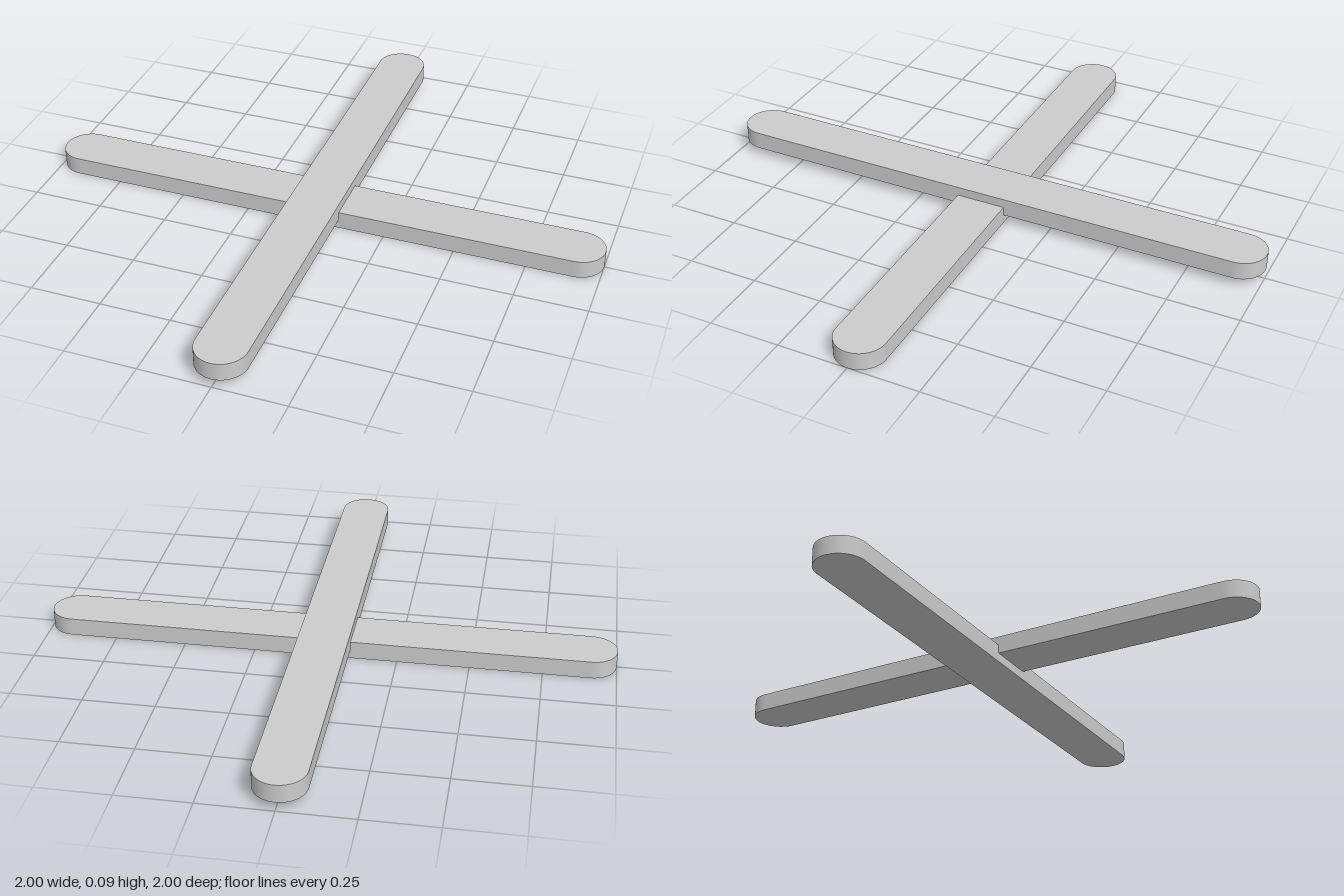
import * as THREE from 'three';

const HALF_LENGTH = 1;
const RADIUS = 0.088;
const THICKNESS = 0.063;

// Flat stick with fully rounded ends, lying along x with its underside on y = 0
function stickGeometry() {
  const c = HALF_LENGTH - RADIUS;
  const outline = new THREE.Shape();
  outline.moveTo(-c, -RADIUS);
  outline.lineTo(c, -RADIUS);
  outline.absarc(c, 0, RADIUS, -Math.PI / 2, Math.PI / 2, false);
  outline.lineTo(-c, RADIUS);
  outline.absarc(-c, 0, RADIUS, Math.PI / 2, Math.PI * 1.5, false);
  const geometry = new THREE.ExtrudeGeometry(outline, {
    depth: THICKNESS, bevelEnabled: false, curveSegments: 16,
  });
  return geometry.rotateX(-Math.PI / 2);
}

export function createModel() {
  const model = new THREE.Group();
  model.name = 'crossedSticks';
  const material = new THREE.MeshStandardMaterial({ color: 0xcccccc, flatShading: true });
  const geometry = stickGeometry();

  // Lower stick runs side to side
  const lower = new THREE.Mesh(geometry, material);
  lower.name = 'lowerStick';

  // Upper stick runs front to back, half sunk into the lower one
  const upper = new THREE.Mesh(geometry, material);
  upper.name = 'upperStick';
  upper.rotation.y = Math.PI / 2;
  upper.position.y = 0.032;

  model.add(lower, upper);
  return model;
}
